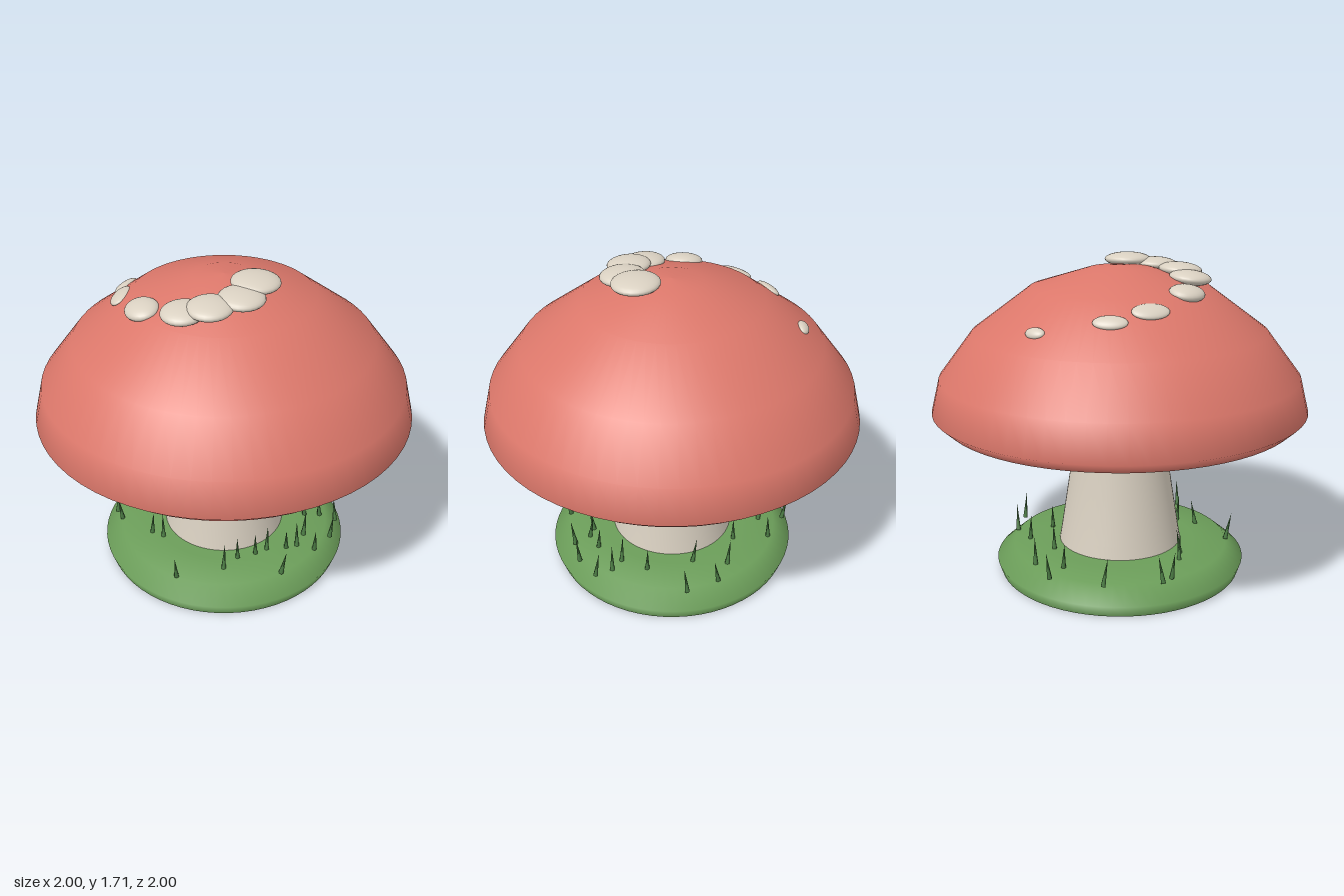
import * as THREE from 'three';

const paint = (name, color) => {
  const m = new THREE.MeshStandardMaterial({ color });
  m.name = name;
  return m;
};

export function createModel() {
  const red = paint('capRed', 0xdb776a);
  const cream = paint('cream', 0xd9d0c1);
  const green = paint('mossGreen', 0x6b9d59);
  const grassGreen = paint('grassGreen', 0x4c7c45);
  const root = new THREE.Group();
  root.name = 'mushroom';

  const add = (name, geometry, material, parent = root) => {
    const mesh = new THREE.Mesh(geometry, material);
    mesh.name = name;
    parent.add(mesh);
    return mesh;
  };
  const group = (name) => {
    const g = new THREE.Group();
    g.name = name;
    root.add(g);
    return g;
  };
  const lathe = (points) =>
    new THREE.LatheGeometry(points.map(([r, y]) => new THREE.Vector2(r, y)), 64);

  // Grassy mound with a flat underside
  add('mound', lathe([[0.665, 0], [0.685, 0.06], [0.59, 0.14], [0.4, 0.15], [0, 0.155]]), green);
  add('moundUnderside', lathe([[0, 0], [0.665, 0]]), green);

  // Stem flaring towards the foot and slightly at the top
  add('stem', lathe([[0.342, 0.12], [0.325, 0.22], [0.25, 0.7], [0.258, 0.87]]), cream);

  // Domed cap with a rolled rim and a flat underside
  const capProfile = [[0.94, 0.865], [1, 0.92], [0.955, 1.1], [0.78, 1.33], [0.47, 1.56], [0.16, 1.655], [0, 1.67]];
  add('cap', lathe(capProfile), red);
  add('capUnderside', lathe([[0, 0.865], [0.94, 0.865]]), red);

  // Radial gills below the cap
  const gills = group('gills');
  const gillGeometry = new THREE.BoxGeometry(0.61, 0.026, 0.018).translate(0.532, 0.852, 0);
  for (let i = 0; i < 48; i++) {
    add('gill', gillGeometry, cream, gills).rotation.y = (i / 48) * Math.PI * 2;
  }

  // Flattened spots: x, y, z, radial half-size, tangential half-size, outward tilt
  const spots = group('spots');
  const spotGeometry = new THREE.SphereGeometry(1, 24, 16);
  [
    [0.18, 1.675, -0.06, 0.125, 0.125, 0.04],
    [0.245, 1.652, 0.075, 0.118, 0.118, 0.06],
    [0.215, 1.637, 0.24, 0.115, 0.115, 0.08],
    [0.135, 1.61, 0.34, 0.11, 0.11, 0.1],
    [-0.08, 1.568, 0.435, 0.085, 0.1, 0.22],
    [-0.36, 1.515, 0.39, 0.056, 0.095, 0.5],
    [-0.52, 1.476, 0.265, 0.045, 0.085, 0.55],
    [-0.662, 1.415, -0.065, 0.034, 0.056, 0.6],
  ].forEach(([x, y, z, radial, tangential, tilt]) => {
    const spot = add('spot', spotGeometry, cream, spots);
    spot.position.set(x, y, z);
    spot.scale.set(radial, radial > 0.08 ? 0.038 : 0.022, tangential);
    spot.rotation.set(0, Math.atan2(-z, x), -tilt, 'YXZ');
  });

  // Pointed grass blades scattered round the stem, leaning slightly
  const grass = group('grass');
  const bladeGeometry = new THREE.ConeGeometry(0.014, 0.15, 6).translate(0, 0.075, 0);
  [
    [-0.64, -0.03], [-0.57, 0.25], [-0.38, 0.49], [-0.31, 0.5], [-0.1, 0.43], [-0.03, 0.4],
    [0.28, 0.52], [0.38, 0.28], [0.36, 0.17], [0.39, 0.07], [0.4, 0], [0.45, -0.1],
    [0.47, -0.16], [0.52, -0.36], [0.34, -0.44], [0.42, -0.25], [0.55, -0.22], [0.43, -0.48],
    [0.59, 0.05], [0.29, -0.37], [0.15, -0.44], [-0.06, -0.62], [-0.1, -0.39], [-0.23, -0.54],
    [-0.29, -0.41], [-0.34, -0.21], [-0.54, -0.19], [-0.5, -0.04],
  ].forEach(([x, z], i) => {
    const blade = add('grassBlade', bladeGeometry, grassGreen, grass);
    blade.position.set(x, 0.143, z);
    blade.rotation.set(0.16 * Math.sin(i * 2.4), 0, 0.16 * Math.cos(i * 3.7));
  });

  return root;
}
